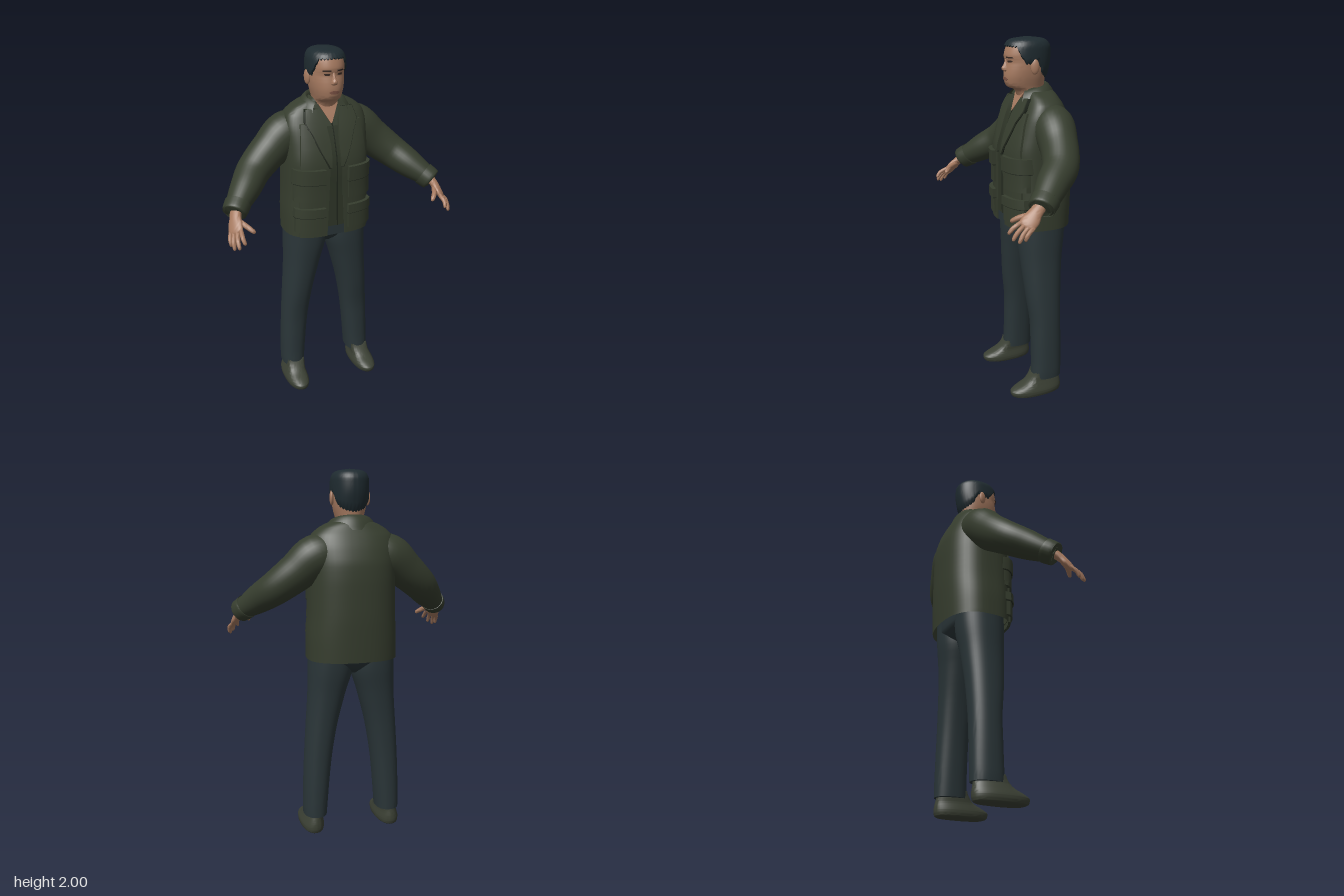
import * as THREE from 'three';
import { toCreasedNormals } from 'three/addons/utils/BufferGeometryUtils.js';

const mat = (name, color, side = THREE.FrontSide) => {
  const m = new THREE.MeshStandardMaterial({ color, side });
  m.name = name;
  return m;
};

// Grid of points f(u, v); side = -1 builds the mirror image
function grid(nu, nv, f, side = 1, crease = 0.9) {
  const pos = [], idx = [];
  for (let j = 0; j <= nv; j++) for (let i = 0; i <= nu; i++) {
    const p = f(side < 0 ? 1 - i / nu : i / nu, j / nv);
    pos.push(p[0] * side, p[1], p[2]);
  }
  for (let j = 0; j < nv; j++) for (let i = 0; i < nu; i++) {
    const a = j * (nu + 1) + i, d = a + nu + 1;
    idx.push(a, a + 1, d + 1, a, d + 1, d);
  }
  const g = new THREE.BufferGeometry();
  g.setAttribute('position', new THREE.Float32BufferAttribute(pos, 3));
  g.setIndex(idx);
  return toCreasedNormals(g, crease);
}

// Monotone interpolation of rows keyed by their first entry
function spline(rows) {
  const n = rows.length - 1;
  const slope = (i, k) => (rows[i + 1][k] - rows[i][k]) / (rows[i + 1][0] - rows[i][0]);
  const tangent = (i, k) => {
    if (i === 0) return slope(0, k);
    if (i === n) return slope(n - 1, k);
    const a = slope(i - 1, k), b = slope(i, k);
    return a * b <= 0 ? 0 : 2 * a * b / (a + b);
  };
  return t => {
    let i = 0;
    while (i < n - 1 && t > rows[i + 1][0]) i++;
    const h = rows[i + 1][0] - rows[i][0], s = Math.min(1, Math.max(0, (t - rows[i][0]) / h));
    return rows[i].map((r, k) => k === 0 ? t :
      r * (1 + 2 * s) * (1 - s) ** 2 + rows[i + 1][k] * s * s * (3 - 2 * s)
      + h * (tangent(i, k) * s * (1 - s) ** 2 - tangent(i + 1, k) * s * s * (1 - s)));
  };
}

// Upright body of level sections [y, centreX, radiusX, frontZ, backZ]
function body(rows, cz, pf = 2.2, pb = 2.2) {
  const at = spline(rows), n = rows.length - 1;
  const point = (th, y, lift = 0) => {
    const [, cx, rx, zf, zb] = at(y), s = Math.sin(th), c = Math.cos(th), p = c > 0 ? pf : pb;
    const mid = Math.max(zb, Math.min(zf, cz)), depth = (c > 0 ? zf - mid : mid - zb) + lift;
    return [cx + (rx + lift) * Math.sign(s) * Math.abs(s) ** (2 / p), y,
      mid + depth * Math.sign(c) * Math.abs(c) ** (2 / p)];
  };
  const frontZ = (x, y) => {
    const [, cx, rx, zf] = at(y), q = Math.min(1, Math.abs((x - cx) / rx));
    return cz + (zf - cz) * (1 - q ** pf) ** (1 / pf);
  };
  const geometry = (side = 1, k = 4) => grid(48, n * k, (u, v) => {
    const t = v * n, i = Math.min(n - 1, Math.floor(t));
    return point((u - 0.5) * 2 * Math.PI, rows[i][0] + (rows[i + 1][0] - rows[i][0]) * (t - i));
  }, side);
  return { point, frontZ, geometry };
}

// Tube through sections [x, y, z, radiusA, radiusB]; hint points along radiusA
function limb(rows, hint, side = 1, k = 4, nu = 24) {
  const at = spline(rows.map((r, i) => [i, ...r])), n = rows.length - 1;
  const centre = t => new THREE.Vector3(...at(t).slice(1, 4));
  return grid(nu, n * k, (u, v) => {
    const t = v * n, [, , , , a, b] = at(t), c = centre(t);
    const T = centre(Math.min(n, t + 0.1)).sub(centre(Math.max(0, t - 0.1))).normalize();
    const S = new THREE.Vector3(...hint).addScaledVector(T, -T.dot(new THREE.Vector3(...hint))).normalize();
    const B = T.clone().cross(S), ph = u * 2 * Math.PI;
    return c.addScaledVector(S, a * Math.cos(ph)).addScaledVector(B, b * Math.sin(ph)).toArray();
  }, side);
}

// Raised plate on the front of a body; rows [y, xLeft, xRight] from bottom to top
function plate(on, rows, lift, side = 1, n = 10) {
  const at = spline(rows), y0 = rows[0][0], y1 = rows[rows.length - 1][0];
  const inner = t => Math.min(1, Math.max(0, (t * (n + 2) - 1) / n));
  return grid(n + 2, n + 2, (u, v) => {
    const y = y0 + (y1 - y0) * inner(v), [, a, b] = at(y), x = a + (b - a) * inner(u);
    const edge = Math.min(u, 1 - u, v, 1 - v) < 0.5 / (n + 2);
    return [x, y, on.frontZ(x, y) + (edge ? -0.004 : lift)];
  }, side, 0.6);
}

export function createModel() {
  const model = new THREE.Group();
  const jacket = mat('jacket green', 0x363d2e, THREE.DoubleSide);
  const trim = mat('jacket trim', 0x2f3628, THREE.DoubleSide);
  const lining = mat('dark lining', 0x20261d);
  const trousers = mat('trouser blue grey', 0x2a3538);
  const shoe = mat('shoe olive', 0x3b4034);
  const skin = mat('skin', 0xa67a60);
  const hair = mat('hair', 0x1f2b30, THREE.DoubleSide);
  const lip = mat('lip', 0x85594a);
  const eye = mat('eye dark', 0x3a2c26);
  const add = (name, geometry, material) => {
    const m = new THREE.Mesh(geometry, material);
    m.name = name;
    model.add(m);
    return m;
  };

  // Jacket body
  const torso = body([[0.995, 0, 0.245, 0.08, -0.28], [1.1, 0, 0.245, 0.08, -0.285], [1.25, 0, 0.237, 0.08, -0.29],
    [1.4, 0, 0.235, 0.083, -0.29], [1.5, 0, 0.235, 0.06, -0.285], [1.58, 0, 0.236, 0.033, -0.265],
    [1.65, 0, 0.222, 0.002, -0.235], [1.69, 0, 0.185, -0.018, -0.212], [1.72, 0, 0.13, -0.03, -0.195],
    [1.74, 0, 0.07, -0.04, -0.17]], -0.1, 3.2, 2.4);
  add('jacketBody', torso.geometry(), jacket);
  add('innerFront', plate(torso, [[1.05, -0.05, 0.05], [1.6, -0.045, 0.045]], 0.006), trim);
  add('waistFront', plate(torso, [[0.996, -0.05, 0.05], [1.05, -0.05, 0.05]], 0.006), trousers);
  add('zipLine', plate(torso, [[1.05, 0.006, 0.012], [1.62, 0.002, 0.007]], 0.009), lining);

  // Collar wrapped round the back of the neck
  const rim = spline([[0, 0.078, 1.67], [1, 0.082, 1.735], [2, 0.098, 1.764], [3, 0.13, 1.735], [4, 0.155, 1.685]]);
  add('collar', grid(36, 12, (u, v) => {
    const th = (u - 0.5) * 4.7, [, r, y] = rim(v * 4), c = Math.cos(th);
    return [-r * Math.sin(th), y - 0.045 * (1 - c) / 2, -0.08 - r * 0.88 * c];
  }), jacket);

  // Head and neck
  const head = body([[1.6, 0, 0.065, -0.03, -0.15], [1.68, 0, 0.066, -0.015, -0.155], [1.725, 0, 0.068, 0.005, -0.155],
    [1.742, 0, 0.071, 0.046, -0.156], [1.76, 0, 0.076, 0.06, -0.157], [1.8, 0, 0.086, 0.066, -0.162],
    [1.84, 0, 0.091, 0.062, -0.172], [1.872, 0, 0.092, 0.056, -0.178], [1.9, 0, 0.092, 0.063, -0.18],
    [1.94, 0, 0.09, 0.054, -0.179], [1.965, 0, 0.08, 0.042, -0.165], [1.98, 0, 0.058, 0.018, -0.138],
    [1.988, 0, 0, -0.06, -0.06]], -0.06, 2.2, 2.1);
  add('head', head.geometry(), skin);
  add('neckOpening', plate(torso, [[1.615, -0.003, 0.003], [1.71, -0.055, 0.055]], 0.009), skin);
  const nose = body([[1.82, 0, 0.01, 0.058, 0.04], [1.827, 0, 0.019, 0.076, 0.04], [1.838, 0, 0.017, 0.083, 0.04],
    [1.86, 0, 0.01, 0.071, 0.04], [1.886, 0, 0.008, 0.06, 0.04]], 0.05, 2);
  add('nose', nose.geometry(), skin);
  add('mouth', plate(head, [[1.776, -0.016, 0.016], [1.785, -0.028, 0.028], [1.794, -0.014, 0.014]], 0.003), lip);

  // Hair cap with a ragged hairline, from the front (0) to the nape (pi)
  const hairline = spline([[0, 1.948], [0.75, 1.945], [1.05, 1.9], [1.3, 1.86], [1.5, 1.86], [1.75, 1.87],
    [2.1, 1.81], [2.6, 1.785], [Math.PI, 1.775]]);
  add('hair', grid(96, 18, (u, v) => {
    const th = (u - 0.5) * 2 * Math.PI, jag = Math.round(u * 96) % 3 === 0 ? 0.007 : 0;
    const y0 = hairline(Math.abs(th))[1] + jag, y = y0 + (1.988 - y0) * (1 - (1 - v) ** 2);
    const p = head.point(th, y, v === 0 || v === 1 ? 0 : 0.01);
    return [p[0], p[1] + 0.012 * v, p[2]];
  }), hair);

  // Trouser seat
  const seat = body([[0.915, 0, 0.03, -0.02, -0.15], [0.95, 0, 0.13, 0.015, -0.2], [1.0, 0, 0.225, 0.037, -0.232],
    [1.1, 0, 0.225, 0.04, -0.235]], -0.1, 2.5, 2.5);
  add('trouserSeat', seat.geometry(), trousers);

  const leg = body([[0.1, 0.212, 0, -0.06, -0.12], [0.101, 0.212, 0.065, -0.008, -0.184], [0.2, 0.208, 0.069, -0.012, -0.185],
    [0.4, 0.195, 0.075, -0.012, -0.185], [0.6, 0.173, 0.084, 0.01, -0.19], [0.8, 0.141, 0.102, 0.027, -0.205],
    [0.95, 0.119, 0.121, 0.037, -0.225], [1.06, 0.117, 0.12, 0.037, -0.23]], -0.09, 2.3, 2.3);
  const foot = body([[0, 0.222, 0, -0.03, -0.03], [0.001, 0.222, 0.05, 0.095, -0.165], [0.014, 0.222, 0.064, 0.122, -0.178],
    [0.036, 0.222, 0.066, 0.127, -0.181], [0.055, 0.221, 0.062, 0.1, -0.18], [0.078, 0.219, 0.056, 0.045, -0.176],
    [0.1, 0.215, 0.053, 0.015, -0.172], [0.14, 0.212, 0.05, -0.02, -0.17]], -0.02, 2.2, 2.4);

  for (const [s, label] of [[1, 'left'], [-1, 'right']]) {
    const part = (name, geometry, material) => add(label + name, geometry, material);
    part('Leg', leg.geometry(s), trousers);
    part('Shoe', foot.geometry(s), shoe);

    // Jacket front, lapel and pockets
    part('FrontPanel', plate(torso, [[0.996, 0.052, 0.2], [1.4, 0.036, 0.19], [1.62, 0.04, 0.17]], 0.012, s), jacket);
    part('LapelShadow', plate(torso, [[1.39, 0.03, 0.042], [1.5, 0.026, 0.094], [1.58, 0.034, 0.124], [1.625, 0.04, 0.149],
      [1.69, 0.065, 0.134]], 0.016, s), lining);
    part('Lapel', plate(torso, [[1.395, 0.028, 0.037], [1.5, 0.024, 0.089], [1.58, 0.032, 0.119], [1.625, 0.038, 0.144],
      [1.69, 0.062, 0.13]], 0.021, s), jacket);
    for (const [name, y0, y1, yf] of [['Chest', 1.21, 1.39, 1.31], ['Hip', 1.03, 1.17, 1.12]]) {
      part(name + 'Pocket', plate(torso, [[y0, 0.07, 0.222], [y1, 0.07, 0.218]], 0.025, s), jacket);
      part(name + 'FlapEdge', plate(torso, [[yf - 0.005, 0.066, 0.224], [yf + 0.01, 0.066, 0.224]], 0.03, s), lining);
      part(name + 'Flap', plate(torso, [[yf, 0.064, 0.226], [y1, 0.066, 0.222]], 0.035, s), jacket);
    }

    // Sleeve and cuff
    part('Sleeve', limb([[0.09, 1.575, -0.13, 0.09, 0.09], [0.2, 1.545, -0.125, 0.112, 0.118], [0.3, 1.468, -0.11, 0.1, 0.104],
      [0.4, 1.388, -0.072, 0.094, 0.092], [0.48, 1.322, 0.012, 0.083, 0.08], [0.55, 1.265, 0.085, 0.066, 0.06],
      [0.574, 1.244, 0.113, 0.058, 0.054]], [0, 0, 1], s, 5, 32), jacket);
    part('Cuff', limb([[0.543, 1.271, 0.077, 0.06, 0.055], [0.545, 1.269, 0.079, 0.073, 0.067], [0.576, 1.242, 0.116, 0.067, 0.062],
      [0.578, 1.24, 0.118, 0.052, 0.047], [0.575, 1.243, 0.114, 0.03, 0.026]], [0, 0, 1], s), jacket);

    // Hand with fingers spread along the knuckle line
    const w = [-0.62, 0.33, 0.71];
    part('Palm', limb([[0.56, 1.262, 0.1, 0.032, 0.026], [0.58, 1.225, 0.145, 0.034, 0.022], [0.59, 1.195, 0.175, 0.044, 0.019],
      [0.597, 1.168, 0.203, 0.042, 0.014], [0.6, 1.157, 0.214, 0.002, 0.002]], w, s), skin);
    const tips = [[0.63, 1.106, 0.224], [0.622, 1.096, 0.252], [0.603, 1.107, 0.277], [0.574, 1.133, 0.288]];
    const finger = (a, b, r) => limb([[...a, r, r], [...a.map((c, i) => c + (b[i] - c) * 0.55 + [0.005, 0.006, 0.005][i]), r, r],
      [...a.map((c, i) => c + (b[i] - c) * 0.94), r * 0.7, r * 0.7], [...b, 0.001, 0.001]], w, s, 3, 10);
    tips.forEach((tip, i) => {
      const k = -0.033 + i * 0.022;
      part('Finger' + (i + 1), finger([0.596 + w[0] * k, 1.172 + w[1] * k, 0.198 + w[2] * k], tip, 0.0115), skin);
    });
    part('Thumb', finger([0.57, 1.215, 0.16], [0.51, 1.172, 0.25], 0.014), skin);

    // Ear, eye and brow
    const ear = new THREE.SphereGeometry(1, 16, 12).scale(0.012, 0.04, 0.023);
    part('Ear', ear.rotateY(s * -0.35).translate(s * 0.098, 1.85, -0.065), skin);
    part('Eye', plate(head, [[1.871, 0.026, 0.044], [1.876, 0.02, 0.05], [1.881, 0.026, 0.046]], 0.003, s), eye);
    part('Brow', plate(head, [[1.892, 0.016, 0.058], [1.899, 0.018, 0.054]], 0.004, s), eye);
  }
  return model;
}
